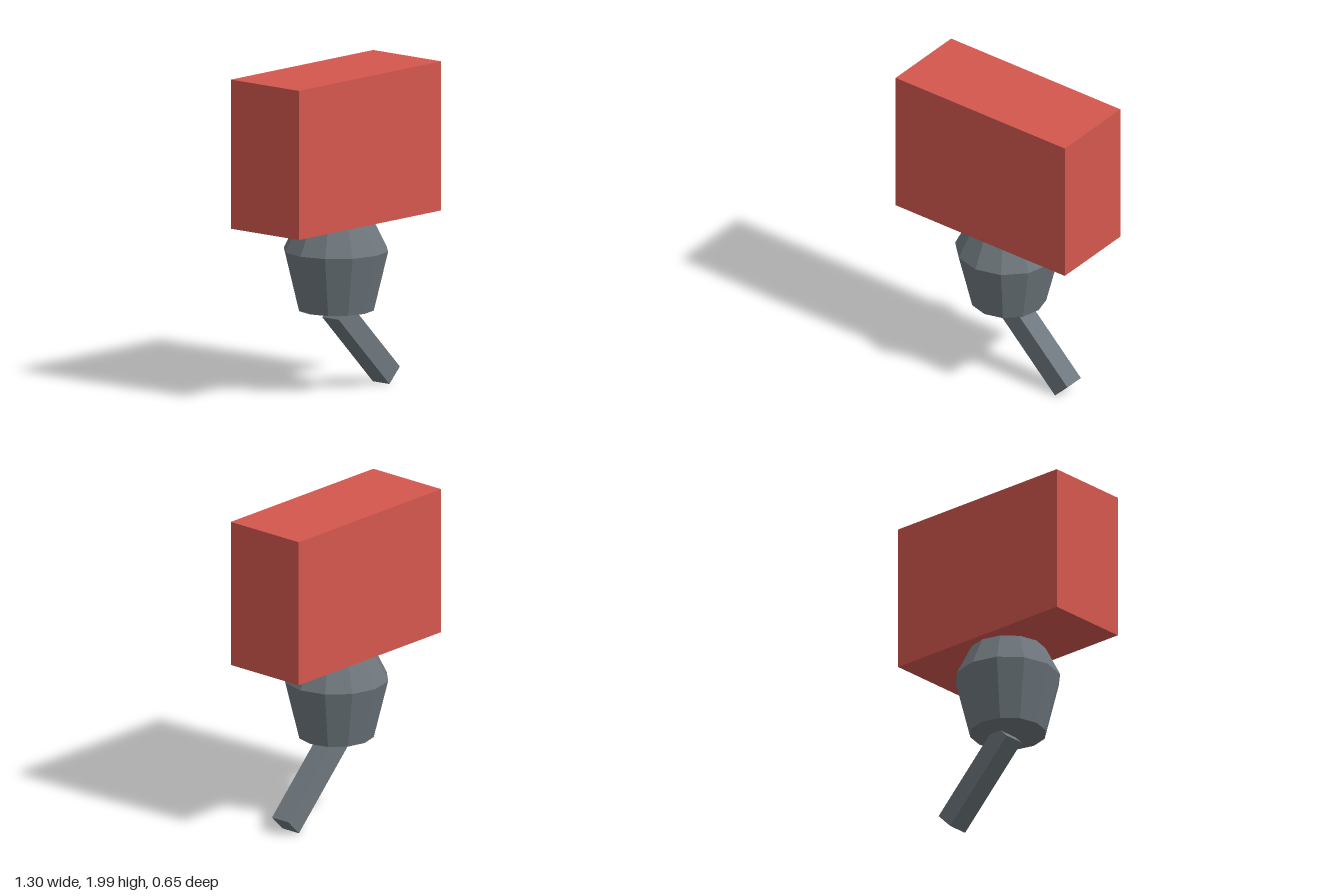
import * as THREE from 'three';

export function createModel() {
  const group = new THREE.Group();
  const red = new THREE.MeshStandardMaterial({ color: 0xd4574e, flatShading: true });
  red.name = 'red';
  const grey = new THREE.MeshStandardMaterial({ color: 0x6e777d, flatShading: true });
  grey.name = 'steel grey';

  const add = (name, geometry, material, x, y) => {
    const mesh = new THREE.Mesh(geometry, material);
    mesh.name = name;
    mesh.position.set(x, y, 0);
    group.add(mesh);
    return mesh;
  };

  // Large block on top
  add('block', new THREE.BoxGeometry(1.3, 0.925, 0.555), red, 0, 1.5375);

  // Twelve-sided knob: closed profile from bottom centre to top centre
  const profile = [[0, 0.52], [0.235, 0.52], [0.325, 0.89], [0.23, 1.08], [0, 1.08]]
    .map(([r, y]) => new THREE.Vector2(r, y));
  add('knob', new THREE.LatheGeometry(profile, 12), grey, 0, 0);

  // Square lever slanting down to the model's left
  const lever = add('lever', new THREE.BoxGeometry(0.135, 0.655, 0.135), grey, 0.229, 0.285);
  lever.rotation.z = Math.PI / 4;

  return group;
}
